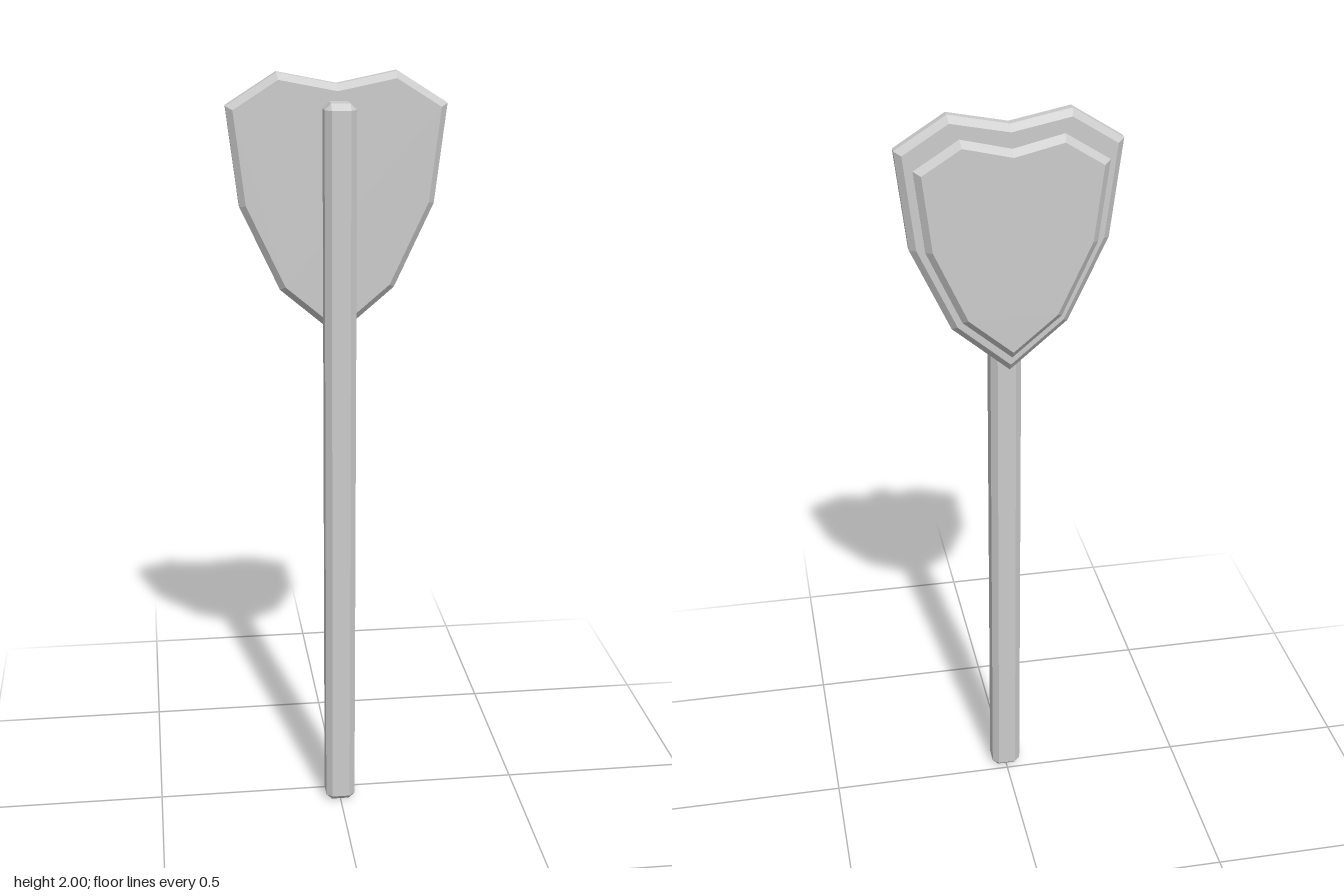
import * as THREE from 'three';
import { ConvexGeometry } from 'three/addons/geometries/ConvexGeometry.js';

const material = new THREE.MeshStandardMaterial({ color: 0xcccccc, flatShading: true });

// Shield-shaped slab, mirrored from its +x half outline, bevelled on both faces
function plate(name, half, zBack, zFront, bevel, bevelDepth) {
  const mirrored = half.slice(1, -1).reverse().map(([x, y]) => [-x, y]);
  const shape = new THREE.Shape([...half, ...mirrored].map(([x, y]) => new THREE.Vector2(x, y)));
  const geometry = new THREE.ExtrudeGeometry(shape, {
    depth: zFront - zBack - 2 * bevelDepth,
    bevelThickness: bevelDepth,
    bevelSize: bevel,
    bevelOffset: -bevel,
    bevelSegments: 1,
  });
  geometry.translate(0, 0, zBack + bevelDepth);
  const mesh = new THREE.Mesh(geometry, material);
  mesh.name = name;
  return mesh;
}

// Box with every edge chamfered: three inset corner points per corner
function chamferedBox(w, h, d, c) {
  const points = [];
  for (const sx of [-1, 1]) for (const sy of [-1, 1]) for (const sz of [-1, 1]) {
    for (let axis = 0; axis < 3; axis++) {
      const inset = [c, c, c];
      inset[axis] = 0;
      points.push(new THREE.Vector3(
        sx * (w / 2 - inset[0]), sy * (h / 2 - inset[1]), sz * (d / 2 - inset[2])));
    }
  }
  return new ConvexGeometry(points);
}

export function createModel() {
  const group = new THREE.Group();
  group.name = 'paddle';

  // Main blade and the smaller raised panel behind it
  group.add(plate('blade',
    [[0, 1.97], [0.15, 2], [0.277, 1.92], [0.247, 1.67], [0.147, 1.455], [0, 1.33]],
    -0.049, 0.005, 0.016, 0.016));
  group.add(plate('backPanel',
    [[0, 1.92], [0.126, 1.95], [0.237, 1.88], [0.212, 1.675], [0.125, 1.485], [0, 1.38]],
    -0.084, -0.049, 0.016, 0.017));

  // Long square handle along the front
  const handle = new THREE.Mesh(chamferedBox(0.08, 1.932, 0.077, 0.016), material);
  handle.name = 'handle';
  handle.position.set(0, 0.966, 0.0435);
  group.add(handle);

  return group;
}
